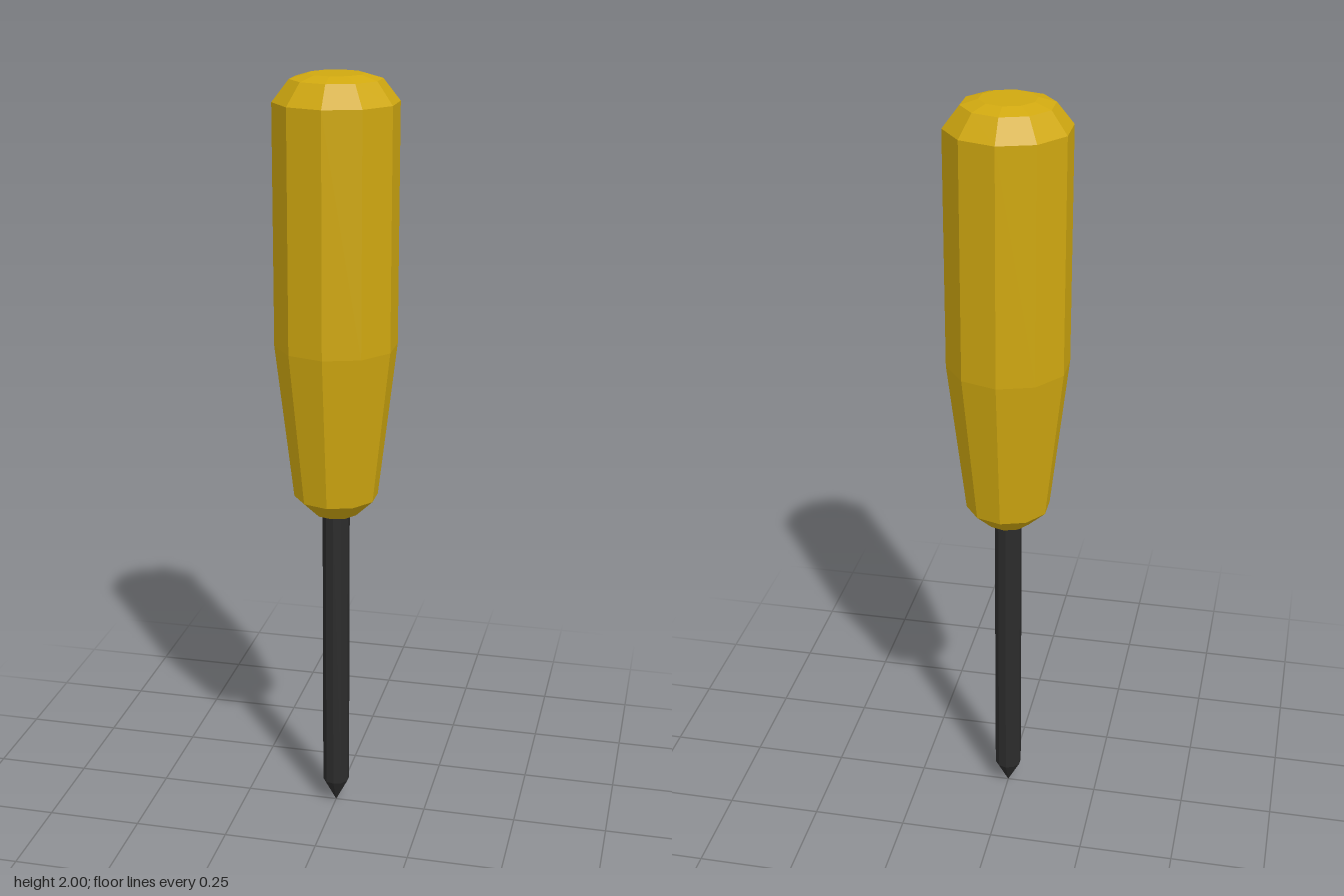
import * as THREE from 'three';

const SIDES = 10;

// Faceted solid of revolution from [radius, height] pairs, bottom to top
function turned(name, profile, color) {
  const points = profile.map(([r, y]) => new THREE.Vector2(r, y));
  const material = new THREE.MeshStandardMaterial({ color, flatShading: true });
  const mesh = new THREE.Mesh(new THREE.LatheGeometry(points, SIDES), material);
  mesh.name = name;
  return mesh;
}

export function createModel() {
  const group = new THREE.Group();
  group.name = 'screwdriver';

  // Ten-sided grip: chamfered collar, taper, straight section, domed end
  group.add(turned('handle', [
    [0, 0.865], [0.06, 0.865], [0.11, 0.912], [0.158, 1.32],
    [0.158, 1.932], [0.115, 1.987], [0.071, 2], [0, 2],
  ], 0xd0a810));

  // Steel rod, sunk slightly into the grip
  group.add(turned('shaft', [[0.036, 0.068], [0.036, 0.88]], 0x2c2c2c));

  // Pointed end
  group.add(turned('tip', [[0, 0], [0.036, 0.068]], 0x2c2c2c));

  return group;
}
